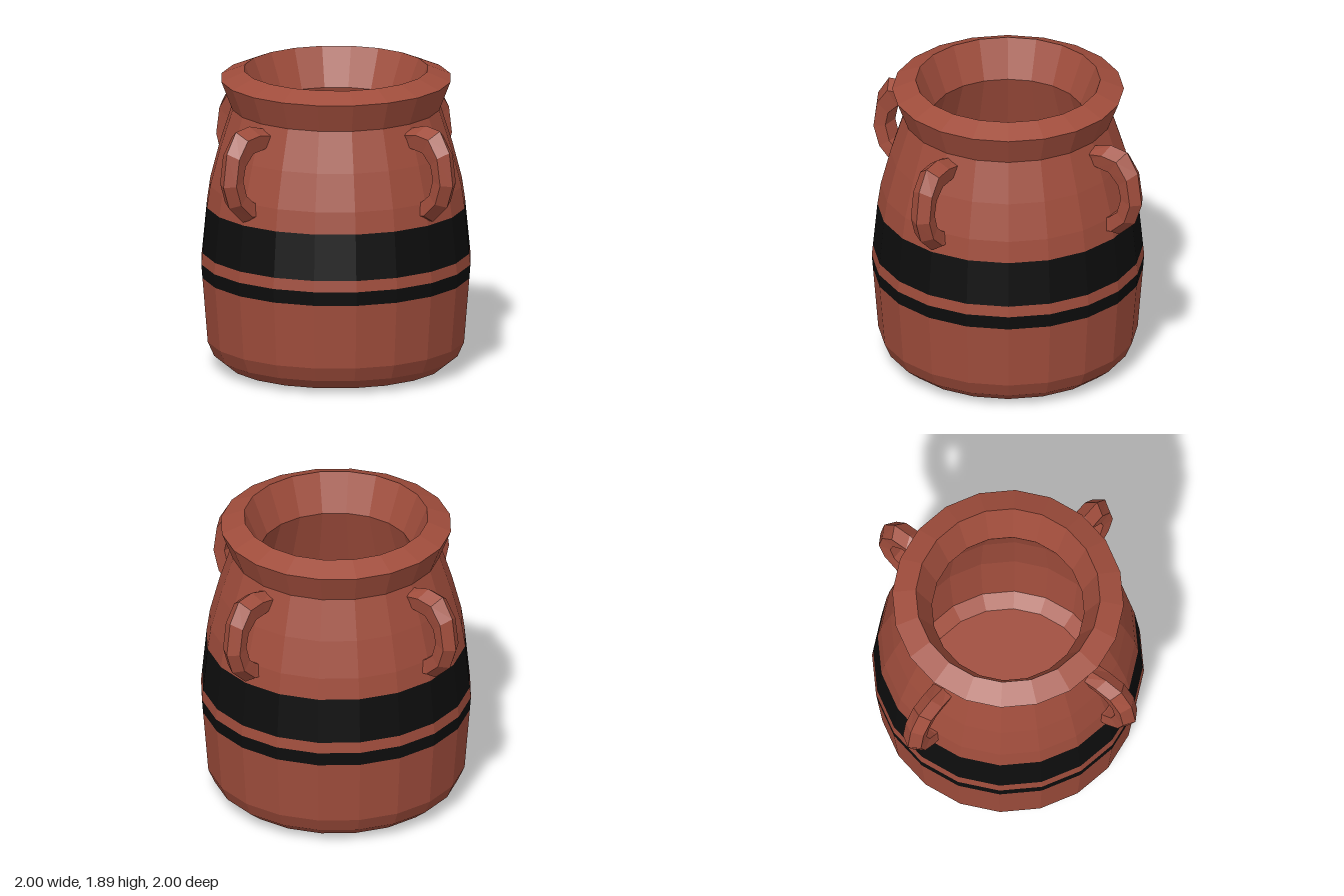
import * as THREE from 'three';

const SIDES = 20;

// A band of the pot, turned from [radius, height] points
function band(name, profile, material) {
  const points = profile.map(([r, y]) => new THREE.Vector2(r, y));
  const mesh = new THREE.Mesh(new THREE.LatheGeometry(points, SIDES), material);
  mesh.name = name;
  return mesh;
}

// Five-sided handle bar: a ridge on the outside, a flat strip on the inside
function handleGeometry() {
  const outer = [[0.60, 1.61], [0.77, 1.66], [0.89, 1.645], [0.97, 1.52], [1.0, 1.31], [0.95, 1.17], [0.83, 1.06], [0.72, 1.06]];
  const inner = [[0.60, 1.53], [0.70, 1.51], [0.79, 1.50], [0.86, 1.43], [0.88, 1.34], [0.85, 1.24], [0.79, 1.19], [0.70, 1.15]];
  const section = [[0, 0], [0.35, 0.07], [1, 0.055], [1, -0.055], [0.35, -0.07]]; // [depth, sideways]
  const n = section.length;
  const positions = [];
  const index = [];
  outer.forEach(([ox, oy], i) => {
    const [ix, iy] = inner[i];
    for (const [t, z] of section) positions.push(ox + (ix - ox) * t, oy + (iy - oy) * t, z);
  });
  for (let i = 0; i < outer.length - 1; i++) {
    for (let j = 0; j < n; j++) {
      const a = i * n + j;
      const b = i * n + (j + 1) % n;
      index.push(a, b, a + n, b, b + n, a + n);
    }
  }
  const geometry = new THREE.BufferGeometry();
  geometry.setAttribute('position', new THREE.Float32BufferAttribute(positions, 3));
  geometry.setIndex(index);
  geometry.computeVertexNormals();
  return geometry;
}

export function createModel() {
  const clay = new THREE.MeshStandardMaterial({ color: 0xa04d3c, flatShading: true });
  clay.name = 'clay';
  const black = new THREE.MeshStandardMaterial({ color: 0x0d0d0d, flatShading: true });
  black.name = 'black glaze';

  const pot = new THREE.Group();
  pot.name = 'pot';

  // Outside, from the base up
  pot.add(
    band('base', [[0, 0], [0.57, 0], [0.68, 0.025], [0.76, 0.09], [0.8, 0.18], [0.833, 0.587]], clay),
    band('narrowStripe', [[0.833, 0.587], [0.84, 0.675]], black),
    band('stripeGap', [[0.84, 0.675], [0.833, 0.745]], clay),
    band('wideStripe', [[0.833, 0.745], [0.805, 1.033]], black),
    band('shoulder', [[0.805, 1.033], [0.785, 1.17], [0.725, 1.4], [0.645, 1.65]], clay),
    band('neckAndRim', [[0.645, 1.65], [0.715, 1.83], [0.57, 1.89]], clay),
  );

  // Hollow inside, from the rim down
  pot.add(band('inside', [[0.57, 1.89], [0.47, 1.65], [0.62, 1.15], [0.67, 0.67], [0.63, 0.24], [0.54, 0.17], [0, 0.17]], clay));

  // Four handles, turned slightly off the axes
  const geometry = handleGeometry();
  for (let i = 0; i < 4; i++) {
    const handle = new THREE.Mesh(geometry, clay);
    handle.name = 'handle' + (i + 1);
    handle.rotation.y = i * Math.PI / 2 + 0.025;
    pot.add(handle);
  }
  return pot;
}
